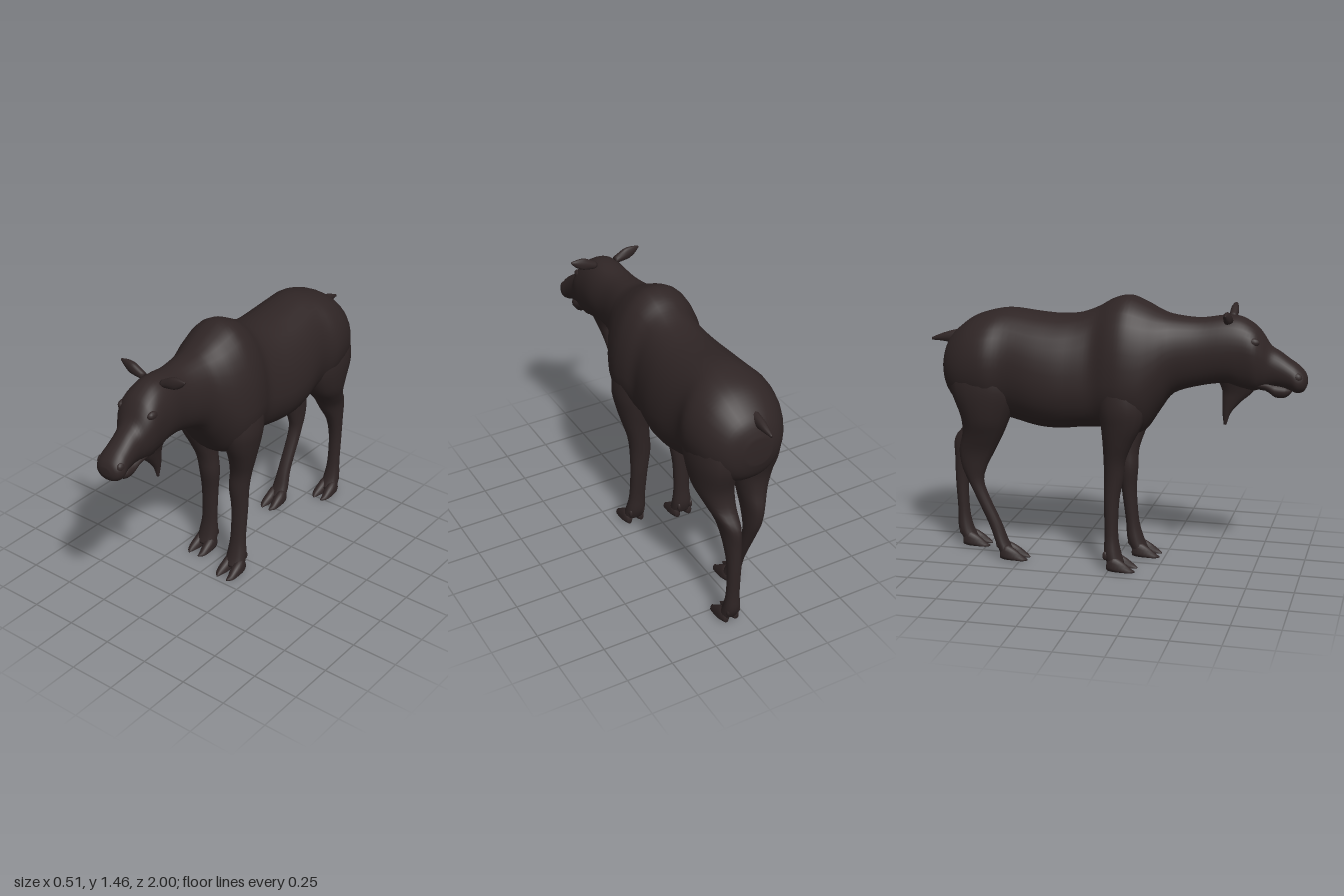
import * as THREE from 'three';

const hide = new THREE.MeshStandardMaterial({ color: 0x2f2525 });
hide.name = 'dark brown hide';

// Smooth value between rows of numbers (Catmull-Rom)
function blend(a, b, c, d, t) {
  return b.map((v, k) => {
    const m0 = (c[k] - a[k]) / 2, m1 = (d[k] - b[k]) / 2;
    const t2 = t * t, t3 = t2 * t;
    return (2 * t3 - 3 * t2 + 1) * v + (t3 - 2 * t2 + t) * m0 + (3 * t2 - 2 * t3) * c[k] + (t3 - t2) * m1;
  });
}

// Skin over oval cross-sections. Each row: [position, centre x, high, low, half width, widest level].
// axis 'z': rows run back to front, high/low are y. axis 'y': rows run downwards, high/low are z.
function loft(name, axis, rows, sides = 20, steps = 4) {
  rows = rows.map((r) => (r.length === 5 ? [...r, 0.5] : r));
  const fine = [];
  const at = (i) => rows[Math.min(Math.max(i, 0), rows.length - 1)];
  for (let i = 0; i < rows.length - 1; i++)
    for (let s = 0; s < steps; s++) fine.push(blend(at(i - 1), at(i), at(i + 1), at(i + 2), s / steps));
  fine.push(rows[rows.length - 1]);

  const pos = [], index = [];
  const put = (x, v, t) => (axis === 'z' ? pos.push(x, v, t) : pos.push(x, t, v));
  for (const [t, cx, hi, lo, hw, level] of fine) {
    const mid = lo + (hi - lo) * level;
    for (let j = 0; j < sides; j++) {
      const a = (j / sides) * Math.PI * 2, c = Math.cos(a), s = Math.sin(a);
      const x = Math.sign(c) * Math.pow(Math.abs(c), 0.9) * Math.max(hw, 0.002);
      put(cx + x, mid + s * (s > 0 ? hi - mid : mid - lo), t);
    }
  }
  for (let i = 0; i < fine.length - 1; i++)
    for (let j = 0; j < sides; j++) {
      const k = (j + 1) % sides, p = i * sides, q = p + sides;
      index.push(p + j, p + k, q + j, p + k, q + k, q + j);
    }
  // end caps
  const last = (fine.length - 1) * sides, centre = fine.length * sides;
  for (const r of [fine[0], fine[fine.length - 1]]) put(r[1], (r[2] + r[3]) / 2, r[0]);
  for (let j = 0; j < sides; j++) {
    const k = (j + 1) % sides;
    index.push(centre, k, j, centre + 1, last + j, last + k);
  }
  const g = new THREE.BufferGeometry();
  g.setAttribute('position', new THREE.Float32BufferAttribute(pos, 3));
  g.setIndex(index);
  g.computeVertexNormals();
  const mesh = new THREE.Mesh(g, hide);
  mesh.name = name;
  return mesh;
}

function ball(name, [x, y, z], [sx, sy, sz]) {
  const mesh = new THREE.Mesh(new THREE.SphereGeometry(1, 14, 10), hide);
  mesh.name = name;
  mesh.position.set(x, y, z);
  mesh.scale.set(sx, sy, sz);
  return mesh;
}

// Leg with a cloven hoof and dewclaws
function leg(name, side, rows, footX, spread, heel, tip) {
  const group = new THREE.Group();
  group.name = name;
  group.add(loft('limb', 'y', rows.map(([y, x, ...rest]) => [y, x * side, ...rest]), 16));
  const len = tip - heel;
  for (const s of [-1, 1]) {
    const x = side * footX + s * spread;
    group.add(loft('hoof', 'z', [
      [heel, x, 0.05, 0.005, 0.014],
      [heel + len * 0.2, x, 0.085, 0, 0.027, 0.3],
      [heel + len * 0.55, x, 0.06, 0, 0.029, 0.25],
      [heel + len * 0.85, x + s * 0.003, 0.025, 0, 0.018, 0.25],
      [tip, x - s * 0.004, 0.01, 0.002, 0.005],
    ], 12, 3));
    group.add(ball('dewclaw', [x, 0.085, heel - 0.01], [0.011, 0.024, 0.014]));
  }
  return group;
}

export function createModel() {
  const model = new THREE.Group();
  model.name = 'hornless deer';

  // Rump, barrel, shoulder hump, neck and head in one skin
  model.add(loft('body', 'z', [
    [-0.92, -0.01, 1.12, 0.98, 0.07],
    [-0.89, 0, 1.2, 0.9, 0.145],
    [-0.83, 0, 1.265, 0.84, 0.202],
    [-0.75, 0, 1.32, 0.82, 0.238],
    [-0.65, 0, 1.353, 0.8, 0.253],
    [-0.55, 0, 1.365, 0.775, 0.232],
    [-0.4, 0, 1.35, 0.742, 0.25, 0.45],
    [-0.28, 0, 1.345, 0.738, 0.25, 0.42],
    [-0.17, 0, 1.36, 0.75, 0.232, 0.4],
    [-0.08, 0, 1.395, 0.755, 0.217, 0.4],
    [0, 0, 1.44, 0.755, 0.238, 0.4],
    [0.08, 0, 1.458, 0.735, 0.248, 0.4],
    [0.17, 0, 1.425, 0.75, 0.23, 0.42],
    [0.25, 0, 1.385, 0.865, 0.188, 0.45],
    [0.32, 0, 1.365, 0.955, 0.148],
    [0.45, 0.002, 1.355, 1, 0.122],
    [0.58, 0.015, 1.372, 1.018, 0.123],
    [0.66, 0.02, 1.365, 0.995, 0.122, 0.55],
    [0.73, 0.023, 1.325, 0.985, 0.121, 0.6],
    [0.77, 0.03, 1.28, 0.995, 0.105, 0.6],
    [0.81, 0.037, 1.22, 1.003, 0.083, 0.58],
    [0.86, 0.042, 1.188, 1.003, 0.075, 0.52],
    [0.91, 0.044, 1.152, 0.993, 0.076],
    [0.95, 0.045, 1.125, 0.978, 0.08, 0.45],
    [0.985, 0.045, 1.09, 0.99, 0.064],
    [1, 0.045, 1.06, 1.02, 0.03],
  ], 32));

  // Lower jaw
  model.add(loft('lowerJaw', 'z', [
    [0.7, 0.025, 1.07, 0.995, 0.075],
    [0.79, 0.033, 1.05, 0.985, 0.06],
    [0.84, 0.04, 1.03, 0.95, 0.05],
    [0.89, 0.043, 1.02, 0.95, 0.045],
    [0.92, 0.044, 1, 0.975, 0.025],
  ], 16, 3));

  // Hanging throat flap
  model.add(loft('throatFlap', 'y', [
    [1.06, 0.02, 0.77, 0.53, 0.065],
    [0.98, 0.018, 0.73, 0.565, 0.04],
    [0.92, 0.015, 0.665, 0.568, 0.028],
    [0.86, 0.013, 0.615, 0.57, 0.018],
    [0.795, 0.012, 0.592, 0.578, 0.005],
  ], 14));

  // Ears, brows and nostril swellings
  for (const s of [-1, 1]) {
    const ear = loft('ear', 'y', [
      [0.12, 0, 0.004, -0.004, 0.004],
      [0.09, 0, 0.012, -0.014, 0.021],
      [0.05, 0, 0.02, -0.02, 0.032],
      [0.015, 0, 0.022, -0.022, 0.027],
      [-0.03, 0, 0.02, -0.02, 0.018],
    ], 12, 3);
    ear.position.set(0.016 + s * 0.086, 1.362, 0.605);
    ear.rotation.z = -s * 1.25;
    model.add(ear);
    model.add(ball('brow', [0.025 + s * 0.092, 1.25, 0.73], [0.02, 0.024, 0.035]));
    model.add(ball('nostril', [0.045 + s * 0.058, 1.065, 0.95], [0.02, 0.028, 0.03]));
  }

  // Tail
  model.add(loft('tail', 'z', [
    [-1, -0.02, 1.19, 1.176, 0.005],
    [-0.95, -0.02, 1.212, 1.174, 0.017],
    [-0.88, -0.02, 1.235, 1.165, 0.024],
    [-0.8, -0.015, 1.25, 1.15, 0.03],
  ], 12));

  // Front legs; the left one is set slightly ahead
  const front = [
    [1.15, 0.13, 0.12, -0.04, 0.06],
    [1.03, 0.138, 0.175, -0.06, 0.095],
    [0.9, 0.143, 0.195, -0.055, 0.105],
    [0.8, 0.145, 0.175, -0.04, 0.088],
    [0.7, 0.137, 0.125, -0.032, 0.072],
    [0.6, 0.122, 0.085, -0.03, 0.06],
    [0.5, 0.112, 0.072, -0.03, 0.057],
    [0.37, 0.118, 0.05, -0.03, 0.048],
    [0.2, 0.122, 0.045, -0.025, 0.045],
    [0.1, 0.126, 0.06, -0.028, 0.055],
    [0.04, 0.128, 0.08, -0.01, 0.058],
  ];
  const ahead = front.map(([y, x, f, b, w]) => {
    const d = 0.08 * Math.max(0, 1 - y / 0.8);
    return [y, x, f + d, b + d, w];
  });
  model.add(leg('frontLegLeft', 1, ahead, 0.13, 0.036, 0.075, 0.225));
  model.add(leg('frontLegRight', -1, front, 0.13, 0.036, -0.005, 0.145));

  // Hind legs; the right one steps forward
  model.add(leg('hindLegLeft', 1, [
    [1.2, 0.12, -0.6, -0.8, 0.05],
    [1.08, 0.125, -0.53, -0.865, 0.095],
    [0.95, 0.128, -0.51, -0.885, 0.112],
    [0.8, 0.122, -0.58, -0.845, 0.1],
    [0.7, 0.11, -0.67, -0.862, 0.075],
    [0.61, 0.098, -0.73, -0.928, 0.05],
    [0.5, 0.093, -0.81, -0.928, 0.042],
    [0.37, 0.09, -0.853, -0.925, 0.037],
    [0.2, 0.089, -0.853, -0.916, 0.036],
    [0.1, 0.088, -0.832, -0.915, 0.045],
    [0.04, 0.088, -0.8, -0.89, 0.05],
  ], 0.088, 0.029, -0.88, -0.73));
  model.add(leg('hindLegRight', -1, [
    [1.2, 0.12, -0.58, -0.78, 0.05],
    [1.08, 0.125, -0.51, -0.85, 0.095],
    [0.95, 0.128, -0.48, -0.86, 0.112],
    [0.8, 0.122, -0.54, -0.81, 0.098],
    [0.7, 0.11, -0.585, -0.81, 0.073],
    [0.6, 0.098, -0.638, -0.835, 0.05],
    [0.5, 0.093, -0.688, -0.82, 0.042],
    [0.4, 0.09, -0.7, -0.775, 0.037],
    [0.2, 0.089, -0.612, -0.682, 0.036],
    [0.1, 0.088, -0.575, -0.645, 0.045],
    [0.04, 0.088, -0.54, -0.62, 0.05],
  ], 0.088, 0.029, -0.61, -0.46));

  return model;
}
